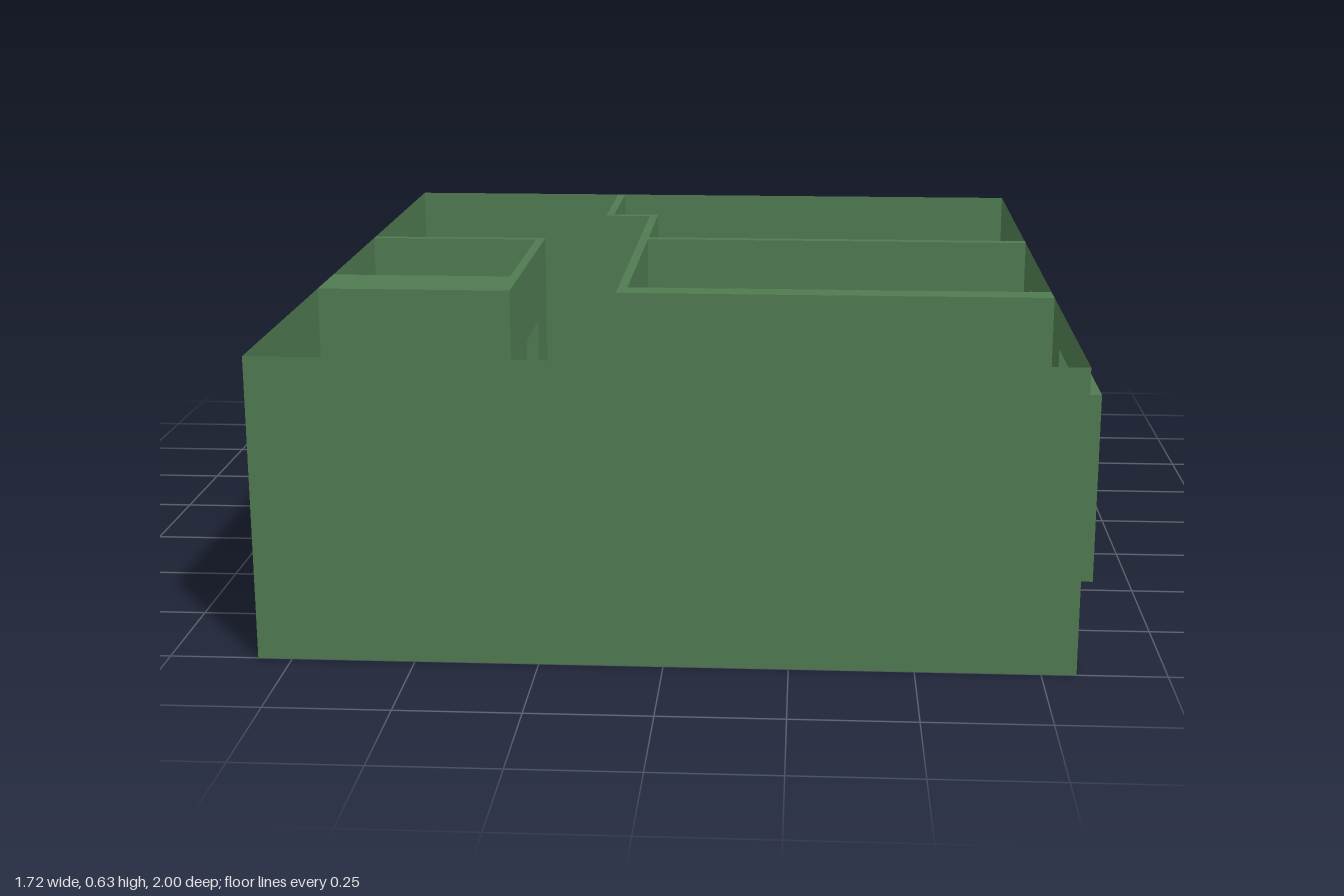
import * as THREE from 'three';

const H = 0.627;          // wall height
const X = 0.82, Z = 1;    // half width and half depth of the shell
const FLOOR = 0.01;
const DOOR_TOP = 0.45;

const material = new THREE.MeshStandardMaterial({
  color: 0x4f7b51, flatShading: true, side: THREE.DoubleSide,
});

export function createModel() {
  const model = new THREE.Group();
  model.name = 'floorPlanHouse';

  const add = (name, geometry) => {
    const mesh = new THREE.Mesh(geometry, material);
    mesh.name = name;
    model.add(mesh);
    return mesh;
  };

  // Rectangular wall outline from u0 to u1 with openings [u0, u1, y0, y1]
  const outline = (u0, u1, openings = []) => {
    const rect = (path, a, b, c, d) =>
      path.moveTo(a, c).lineTo(b, c).lineTo(b, d).lineTo(a, d).lineTo(a, c);
    const shape = rect(new THREE.Shape(), u0, u1, 0, H);
    for (const o of openings) shape.holes.push(rect(new THREE.Path(), ...o));
    return shape;
  };

  // Thin sheet running along z at a given x
  const sheetZ = (name, x, z0, z1, openings) =>
    add(name, new THREE.ShapeGeometry(outline(z0, z1, openings)).rotateY(-Math.PI / 2).translate(x, 0, 0));

  // Thin sheet running along x at a given z
  const sheetX = (name, z, x0, x1) =>
    add(name, new THREE.ShapeGeometry(outline(x0, x1)).translate(0, 0, z));

  // Solid wall running along z, between x0 and x1, with doorways cut through
  const thickZ = (name, x0, x1, z0, z1, openings) => {
    const g = new THREE.ExtrudeGeometry(outline(z0, z1, openings), { depth: x1 - x0, bevelEnabled: false });
    return add(name, g.rotateY(-Math.PI / 2).translate(x1, 0, 0));
  };

  // Plain solid block
  const block = (name, x0, x1, y0, y1, z0, z1) =>
    add(name, new THREE.BoxGeometry(x1 - x0, y1 - y0, z1 - z0)
      .translate((x0 + x1) / 2, (y0 + y1) / 2, (z0 + z1) / 2));

  // Open rectangular sleeve projecting along x around an opening
  const sleeve = (name, x0, x1, [z0, z1, y0, y1]) =>
    add(name, new THREE.CylinderGeometry(Math.SQRT1_2, Math.SQRT1_2, 1, 4, 1, true)
      .rotateY(Math.PI / 4).rotateZ(Math.PI / 2)
      .scale(x1 - x0, y1 - y0, z1 - z0)
      .translate((x0 + x1) / 2, (y0 + y1) / 2, (z0 + z1) / 2));

  // Floor slab
  block('floor', -X + 0.001, X - 0.001, 0, FLOOR, -Z + 0.001, Z - 0.001);

  // Front and back outer walls
  sheetX('frontWall', Z, -X, X);
  sheetX('backWall', -Z, -X, X);

  // Right outer wall with the entrance
  const entrance = [-0.795, -0.578, FLOOR, DOOR_TOP];
  sheetZ('entranceWall', -X, -Z, Z, [entrance]);
  sleeve('entranceFrame', -0.862, -X, entrance);

  // Left outer wall: three panels, each with a window
  const windowPanels = [
    [-Z, -0.33, [-0.83, -0.437, 0.153, 0.542]],
    [-0.303, 0.298, [-0.14, 0.188, 0.153, 0.542]],
    [0.36, Z, [0.485, 0.878, 0.153, 0.542]],
  ];
  windowPanels.forEach(([z0, z1, opening], i) => {
    sheetZ(`windowWall${i + 1}`, X, z0, z1, [opening]);
    sleeve(`windowFrame${i + 1}`, X, 0.86, opening);
  });

  // Corridor partition with two doorways, then the jog to the back wall
  thickZ('corridorPartition', -0.148, -0.127, -0.667, 0.36, [
    [-0.63, -0.42, FLOOR, DOOR_TOP],
    [-0.038, 0.16, FLOOR, DOOR_TOP],
  ]);
  block('partitionJog', -0.265, -0.148, 0, H, -0.667, -0.645);
  block('backPartition', -0.265, -0.245, 0, H, -Z, -0.667);

  // Hollow room dividers, open at the outer wall
  for (const [name, z0, z1] of [['backDivider', -0.33, -0.303], ['frontDivider', 0.298, 0.36]]) {
    sheetX(`${name}BackFace`, z0, -0.127, X);
    sheetX(`${name}FrontFace`, z1, -0.127, X);
    add(`${name}Top`, new THREE.PlaneGeometry(X + 0.127, z1 - z0).rotateX(-Math.PI / 2)
      .translate((X - 0.127) / 2, H, (z0 + z1) / 2));
  }

  // Small room against the right wall, with a doorway to the corridor
  thickZ('smallRoomSide', -0.408, -0.387, -0.302, 0.35, [[-0.13, 0.08, FLOOR, DOOR_TOP]]);
  block('smallRoomBack', -X, -0.408, 0, H, -0.302, -0.281);
  block('smallRoomFront', -X, -0.408, 0, H, 0.19, 0.35);

  return model;
}
